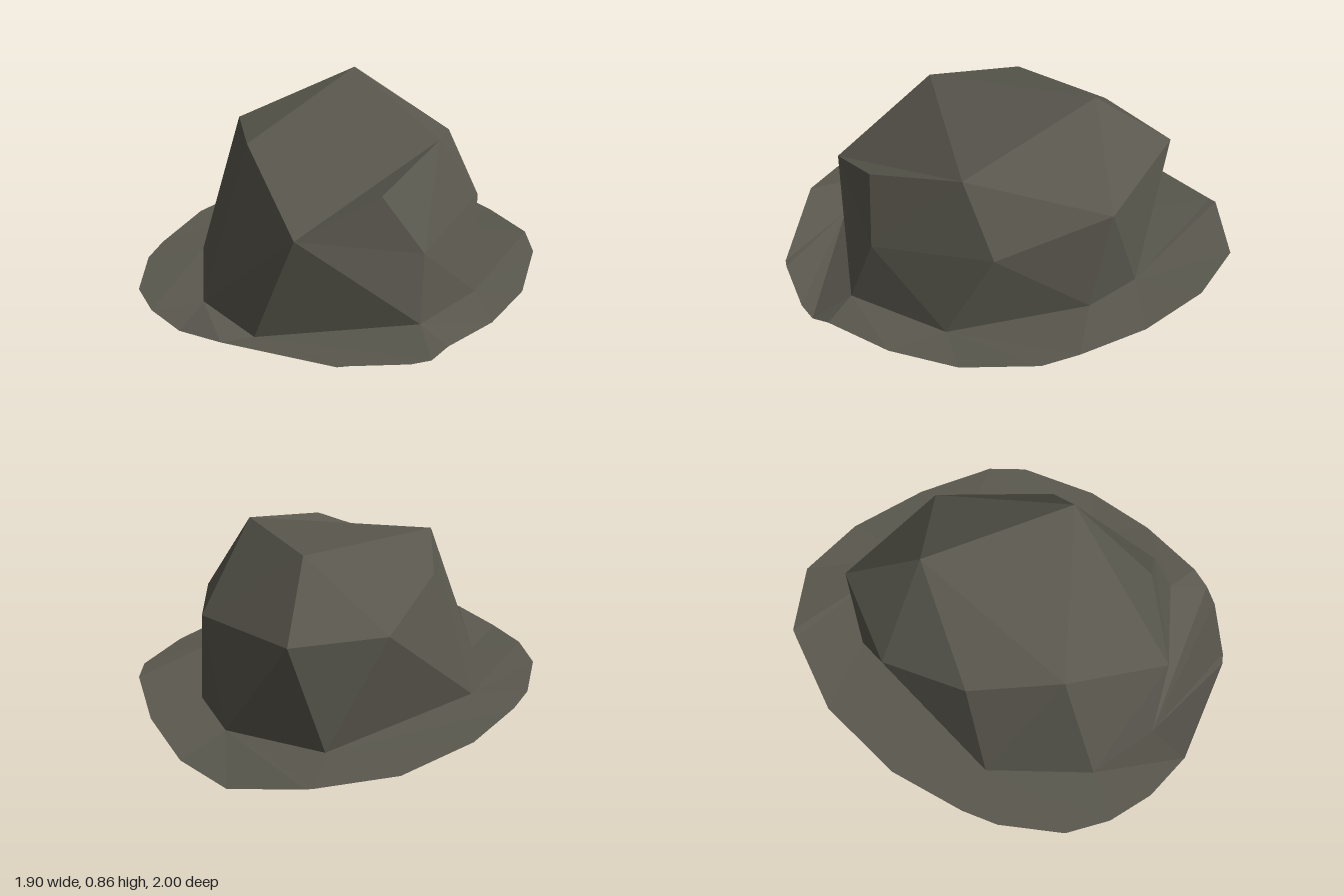
import * as THREE from 'three';

// Corners of the faceted crown; lower-case s..z form the open base ring
const P = {
  A: [0.28, 0.86, -0.36], B: [0.34, 0.75, 0.40], C: [-0.45, 0.74, 0.06],
  D: [-0.45, 0.48, 0.575], E: [-0.06, 0.64, 0.63], F: [0.10, 0.38, 0.73],
  H: [0.44, 0.59, -0.685], I: [-0.02, 0.57, -0.66], J: [0.695, 0.54, -0.16],
  K: [0.555, 0.44, 0.38], L: [-0.32, 0.70, -0.36],
  s: [0.04, 0.09, 0.815], t: [0.45, 0.05, 0.57], u: [0.69, 0.07, -0.05], v: [0.645, 0.05, -0.35],
  w: [0.28, 0.07, -0.70], x: [-0.525, 0.06, -0.35], y: [-0.705, 0.04, 0.13], z: [-0.6, 0.005, 0.475],
};

// Facets, grouped as top, front, left side, back, right side
const FACETS = [
  'ABC ACL ALI AIH AHJ AJB',
  'BCD BDE BEF DEF DFs Dzs FBK FKt Fts',
  'BJK KJu Kut Jvu JHv',
  'Hwv IwH Ixw',
  'ILx LCx Cyx CDy Dzy',
].join(' ').split(' ');

// Outer edge of the brim, going round from the front towards the left
const EDGE = [
  [0, 0.015, 1], [0.095, 0.045, 0.97], [0.39, 0.03, 0.835], [0.66, 0.035, 0.64],
  [0.885, 0.07, 0.36], [0.94, 0.09, 0.19], [0.95, 0.06, -0.17], [0.89, 0.045, -0.545],
  [0.75, 0.05, -0.84], [0.45, 0.09, -1], [0.41, 0.085, -0.997], [0.02, 0.06, -0.96],
  [-0.38, 0.055, -0.77], [-0.67, 0.05, -0.52], [-0.79, 0.05, -0.385], [-0.935, 0.045, -0.1],
  [-0.95, 0.045, 0.12], [-0.9, 0.04, 0.345], [-0.79, 0.065, 0.56], [-0.405, 0.035, 0.915],
  [-0.36, 0.04, 0.935], [-0.1, 0.02, 1],
];

// Mesh from triangles, each turned to face along the direction given by outward(centre)
function facetMesh(name, triangles, outward, material) {
  const points = [];
  for (const tri of triangles) {
    const [a, b, c] = tri.map((p) => new THREE.Vector3(...p));
    const normal = b.clone().sub(a).cross(c.clone().sub(a));
    const centre = a.clone().add(b).add(c).divideScalar(3);
    points.push(...(normal.dot(outward(centre)) >= 0 ? [a, b, c] : [a, c, b]));
  }
  const geometry = new THREE.BufferGeometry().setFromPoints(points);
  geometry.computeVertexNormals();
  const mesh = new THREE.Mesh(geometry, material);
  mesh.name = name;
  return mesh;
}

// Zip two closed rings together, always advancing the ring that lags in angle
function stitch(inner, outer) {
  const turn = (ring, i) => {
    const [x, , z] = ring[i % ring.length];
    let a = Math.atan2(x, z);
    if (a < -1e-6) a += 2 * Math.PI;
    return a + (i >= ring.length ? 2 * Math.PI : 0);
  };
  const at = (ring, i) => ring[i % ring.length];
  const triangles = [];
  let i = 0, j = 0;
  while (i < inner.length || j < outer.length) {
    const stepOuter = i >= inner.length ||
      (j < outer.length && turn(outer, j + 1) <= turn(inner, i + 1));
    if (stepOuter) {
      triangles.push([at(inner, i), at(outer, j), at(outer, j + 1)]);
      j++;
    } else {
      triangles.push([at(inner, i), at(outer, j), at(inner, i + 1)]);
      i++;
    }
  }
  return triangles;
}

export function createModel() {
  const felt = new THREE.MeshStandardMaterial({ color: 0x5a584e, flatShading: true, side: THREE.DoubleSide });
  felt.name = 'dark olive grey';

  const group = new THREE.Group();
  group.name = 'hat';

  // Hollow crown, open underneath
  const middle = new THREE.Vector3(0, 0.3, 0);
  const crown = FACETS.map((f) => [...f].map((key) => P[key]));
  group.add(facetMesh('crown', crown, (c) => c.clone().sub(middle), felt));

  // Thin wavy brim around the base of the crown
  const base = [...'stuvwxyz'].map((key) => P[key]);
  const up = new THREE.Vector3(0, 1, 0);
  group.add(facetMesh('brim', stitch(base, EDGE), () => up, felt));

  return group;
}
